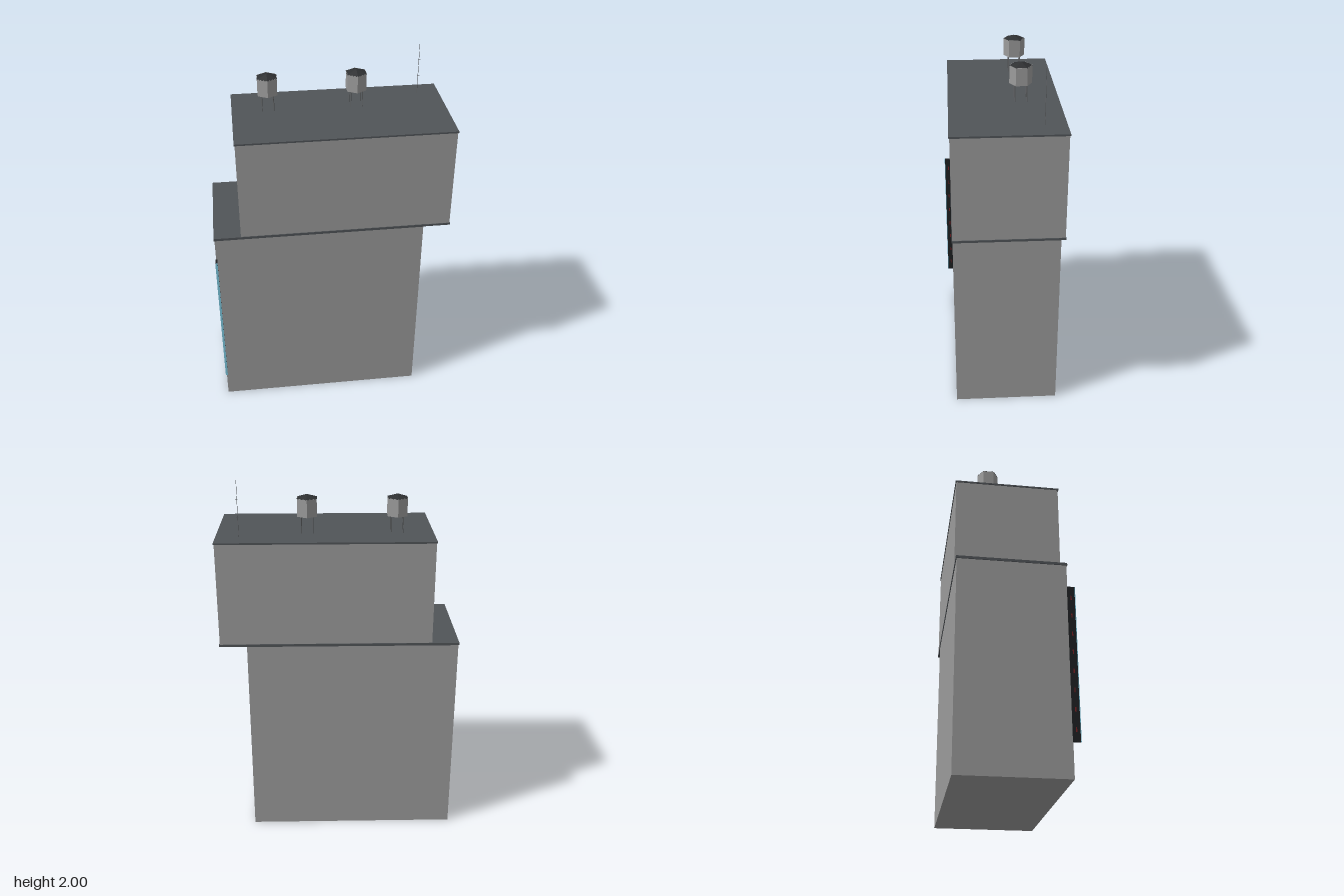
import * as THREE from 'three';

const material = (color) => new THREE.MeshStandardMaterial({ color, flatShading: true });

export function createModel() {
  const model = new THREE.Group();
  const wall = material(0x9b9b9b);
  const roofing = material(0x505458);
  const dark = material(0x2e3032);
  const metal = material(0x606264);
  const board = material(0x1e2022);
  const tube = material(0x7cc8e0);
  const red = material(0x7a2024);

  const add = (parent, name, geometry, mat, x = 0, y = 0, z = 0) => {
    const mesh = new THREE.Mesh(geometry, mat);
    mesh.name = name;
    mesh.position.set(x, y, z);
    parent.add(mesh);
    return mesh;
  };
  // Box given by its lower and upper bounds
  const box = (parent, name, mat, [x0, y0, z0], [x1, y1, z1]) =>
    add(parent, name, new THREE.BoxGeometry(x1 - x0, y1 - y0, z1 - z0), mat,
      (x0 + x1) / 2, (y0 + y1) / 2, (z0 + z1) / 2);

  // Two offset blocks, each capped with a thin roof slab
  box(model, 'lowerBlock', wall, [-0.64, 0, -0.301], [0.494, 1.132, 0.268]);
  box(model, 'lowerRoof', roofing, [-0.644, 1.129, -0.305], [0.498, 1.143, 0.272]);
  box(model, 'upperBlock', wall, [-0.498, 1.138, -0.301], [0.638, 1.697, 0.268]);
  box(model, 'upperFloor', roofing, [-0.498, 1.13, -0.304], [0.642, 1.142, 0.271]);
  box(model, 'upperRoof', roofing, [-0.502, 1.695, -0.305], [0.642, 1.704, 0.272]);

  // Hexagonal water tanks on four legs
  for (const x of [-0.308, 0.165]) {
    const tank = new THREE.Group();
    tank.name = 'waterTank';
    tank.position.set(x, 1.7, -0.105);
    model.add(tank);
    add(tank, 'tankBody', new THREE.CylinderGeometry(0.059, 0.059, 0.095, 6), wall, 0, 0.1405);
    add(tank, 'tankRoof', new THREE.ConeGeometry(0.0605, 0.02, 6), dark, 0, 0.197);
    for (const lx of [-0.031, 0.031])
      for (const lz of [-0.031, 0.031])
        add(tank, 'tankLeg', new THREE.CylinderGeometry(0.0025, 0.0025, 0.094, 6), metal, lx, 0.047, lz);
  }

  // Antenna mast with two tiny cross bars
  add(model, 'antennaMast', new THREE.CylinderGeometry(0.001, 0.0015, 0.3, 6), metal, 0.52, 1.85, -0.195);
  for (const y of [1.81, 1.9])
    box(model, 'antennaBar', metal, [0.516, y - 0.001, -0.197], [0.528, y + 0.001, -0.195]);

  // Vertical blade sign at the front corner, with a light strip along its outer edge
  box(model, 'signBoard', board, [-0.644, 0.18, 0.266], [-0.634, 1.004, 0.304]);
  box(model, 'signLight', tube, [-0.645, 0.18, 0.304], [-0.633, 1.004, 0.307]);

  // Small red lamps in a column on both faces of the sign
  for (let i = 0; i < 8; i++) {
    const y = 0.24 + i * 0.1;
    box(model, 'signLamp', red, [-0.6445, y - 0.012, 0.282], [-0.6335, y + 0.012, 0.288]);
  }

  return model;
}
